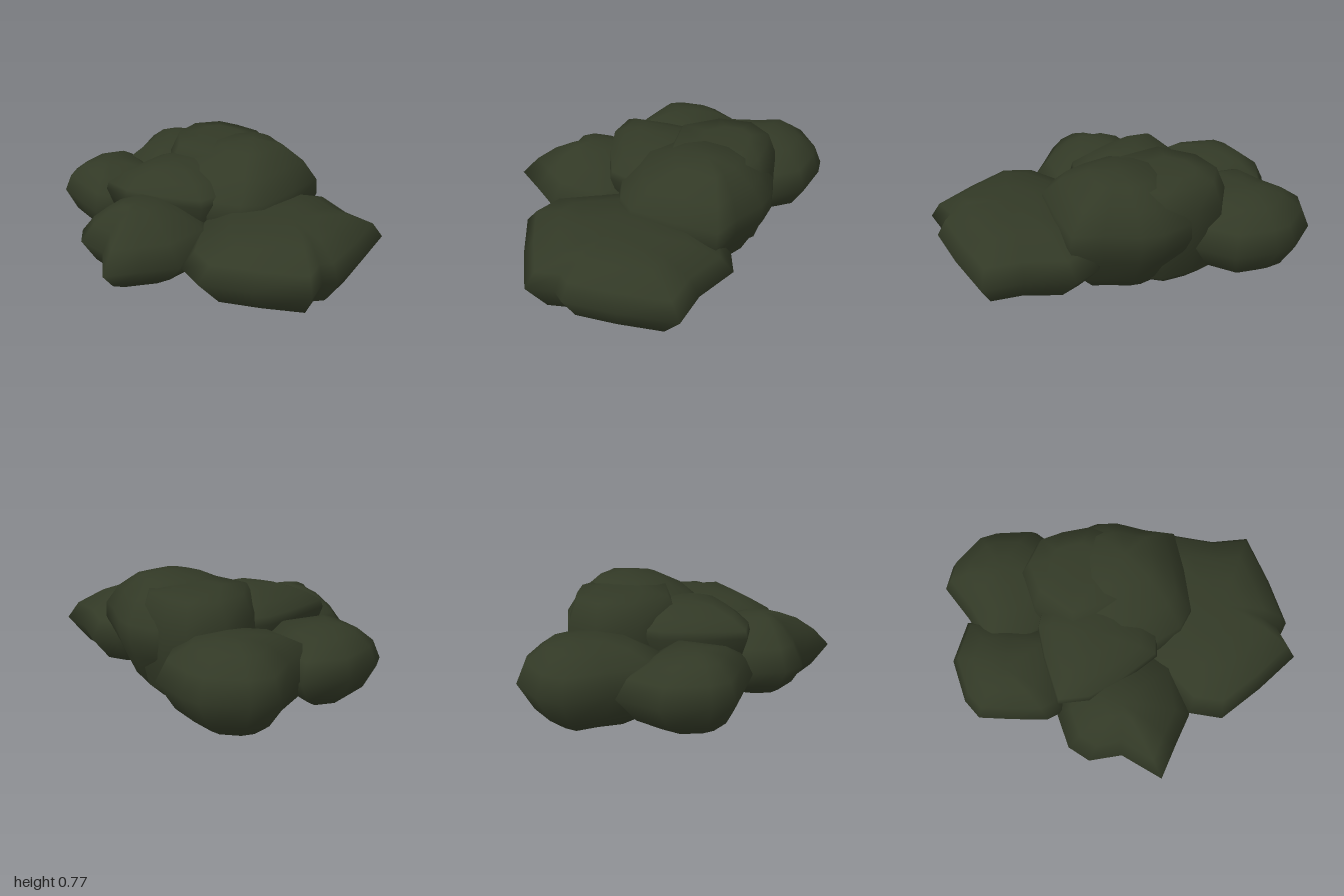
import * as THREE from 'three';

const leaf = new THREE.MeshStandardMaterial({ color: 0x323926 });
leaf.name = 'dark green foliage';
const bark = new THREE.MeshStandardMaterial({ color: 0x6e5b4d });
bark.name = 'brown bark';

// Clump cross-sections: [share of outline, height step -1..1]
const pointed = [[0.45, -0.95], [0.76, -0.55], [1, 0], [0.77, 0.44], [0.5, 0.78], [0.25, 0.96]];
const rounded = [[0.45, -0.94], [0.76, -0.6], [1, 0], [0.86, 0.5], [0.55, 0.85], [0.25, 0.97]];
const broad = [[0.55, -0.96], [0.78, -0.75], [1, 0], [0.88, 0.48], [0.6, 0.88], [0.3, 0.98]];
const domed = [[0.55, -0.94], [0.75, -0.65], [0.92, -0.2], [1, 0.08], [0.97, 0.34], [0.74, 0.66], [0.4, 0.92]];
const blocky = [[0.6, -0.96], [0.85, -0.75], [1, 0], [0.95, 0.5], [0.78, 0.93], [0.4, 0.98]];

// Leaf clump: plan outline (x, z) swept through a profile; the top may lean sideways
function clump(name, outline, [bottom, mid, top], profile, lean = 0) {
  const n = outline.length;
  const cx = outline.reduce((a, p) => a + p[0], 0) / n;
  const cz = outline.reduce((a, p) => a + p[1], 0) / n;
  const pos = [cx, bottom, cz];
  const index = [];
  for (const [s, t] of profile) {
    const y = mid + t * (t > 0 ? top - mid : mid - bottom);
    const shift = lean * Math.max(t, 0) ** 2;
    for (const [x, z] of outline) pos.push(cx + (x - cx) * s + shift, y, cz + (z - cz) * s);
  }
  pos.push(cx + lean, top, cz);
  const last = pos.length / 3 - 1;
  for (let j = 0; j < n; j++) {
    const j1 = (j + 1) % n;
    index.push(0, 1 + j1, 1 + j);
    for (let r = 0; r < profile.length - 1; r++) {
      const a = 1 + r * n + j, b = 1 + r * n + j1;
      index.push(a, b, b + n, a, b + n, a + n);
    }
    index.push(last - n + j, last - n + j1, last);
  }
  const geo = new THREE.BufferGeometry();
  geo.setAttribute('position', new THREE.Float32BufferAttribute(pos, 3));
  geo.setIndex(index);
  geo.computeVertexNormals();
  const mesh = new THREE.Mesh(geo, leaf);
  mesh.name = name;
  return mesh;
}

export function createModel() {
  const tree = new THREE.Group();
  tree.name = 'lowTree';

  // Short leaning trunk, wider where it meets the leaves
  const trunkGeo = new THREE.CylinderGeometry(0.08, 0.035, 0.3, 8);
  const p = trunkGeo.attributes.position;
  for (let i = 0; i < p.count; i++) {
    const h = p.getY(i) + 0.15;
    p.setXYZ(i, p.getX(i) + 0.19, h, p.getZ(i) * (1 - h * 1.5) - 0.11 - h * 0.25);
  }
  trunkGeo.computeVertexNormals();
  const trunk = new THREE.Mesh(trunkGeo, bark);
  trunk.name = 'trunk';
  tree.add(trunk);

  // Ring of lower clumps
  tree.add(clump('frontClump', [
    [-0.44, 0.55], [-0.28, 0.78], [-0.1, 1], [0.04, 0.94], [0.11, 0.98], [0.38, 0.91], [0.67, 0.81],
    [0.66, 0.6], [0.72, 0.35], [0.64, 0.22], [0.3, 0.08], [-0.1, 0.12], [-0.4, 0.37],
  ], [0.15, 0.35, 0.535], broad));
  tree.add(clump('rightClump', [
    [-0.76, 0.19], [-0.58, 0.28], [-0.41, 0.37], [-0.1, 0.34], [0.12, 0], [-0.03, -0.35],
    [-0.36, -0.37], [-0.56, -0.31], [-0.64, -0.2], [-0.62, -0.02],
  ], [0.15, 0.35, 0.58], pointed));
  tree.add(clump('backRightClump', [
    [-0.36, -0.33], [0.1, -0.25], [0.18, -0.6], [0.2, -0.87], [-0.03, -0.95], [-0.27, -0.88],
    [-0.37, -0.8], [-0.39, -0.6], [-0.4, -0.42],
  ], [0.16, 0.37, 0.56], rounded));
  tree.add(clump('backLeftClump', [
    [-0.02, -0.5], [0.3, -0.18], [0.62, -0.3], [0.76, -0.46], [0.76, -0.69], [0.73, -0.8],
    [0.56, -0.96], [0.42, -1], [0.22, -0.86], [-0.03, -0.73],
  ], [0.14, 0.38, 0.595], rounded));

  // Raised crown
  tree.add(clump('crownSideClump', [
    [-0.36, -0.35], [-0.35, -0.18], [-0.26, 0], [-0.12, 0.2], [0.02, 0.21], [0.34, 0.1], [0.4, -0.2],
    [0.2, -0.42], [0.08, -0.45], [-0.1, -0.42],
  ], [0.16, 0.52, 0.68], domed));
  tree.add(clump('crownBackClump', [
    [0.0, -0.25], [0.1, 0.1], [0.55, 0.12], [0.66, -0.1], [0.63, -0.3], [0.58, -0.45],
    [0.4, -0.54], [0.18, -0.47],
  ], [0.14, 0.46, 0.735], blocky));
  tree.add(clump('crownClump', [
    [-0.13, 0], [-0.06, 0.21], [0.02, 0.35], [0.13, 0.42], [0.38, 0.4], [0.62, 0.36], [0.65, 0.2],
    [0.71, 0.02], [0.71, -0.1], [0.65, -0.26], [0.4, -0.38], [0.1, -0.36], [-0.06, -0.2],
  ], [0.125, 0.44, 0.77], domed, 0.08));
  return tree;
}
